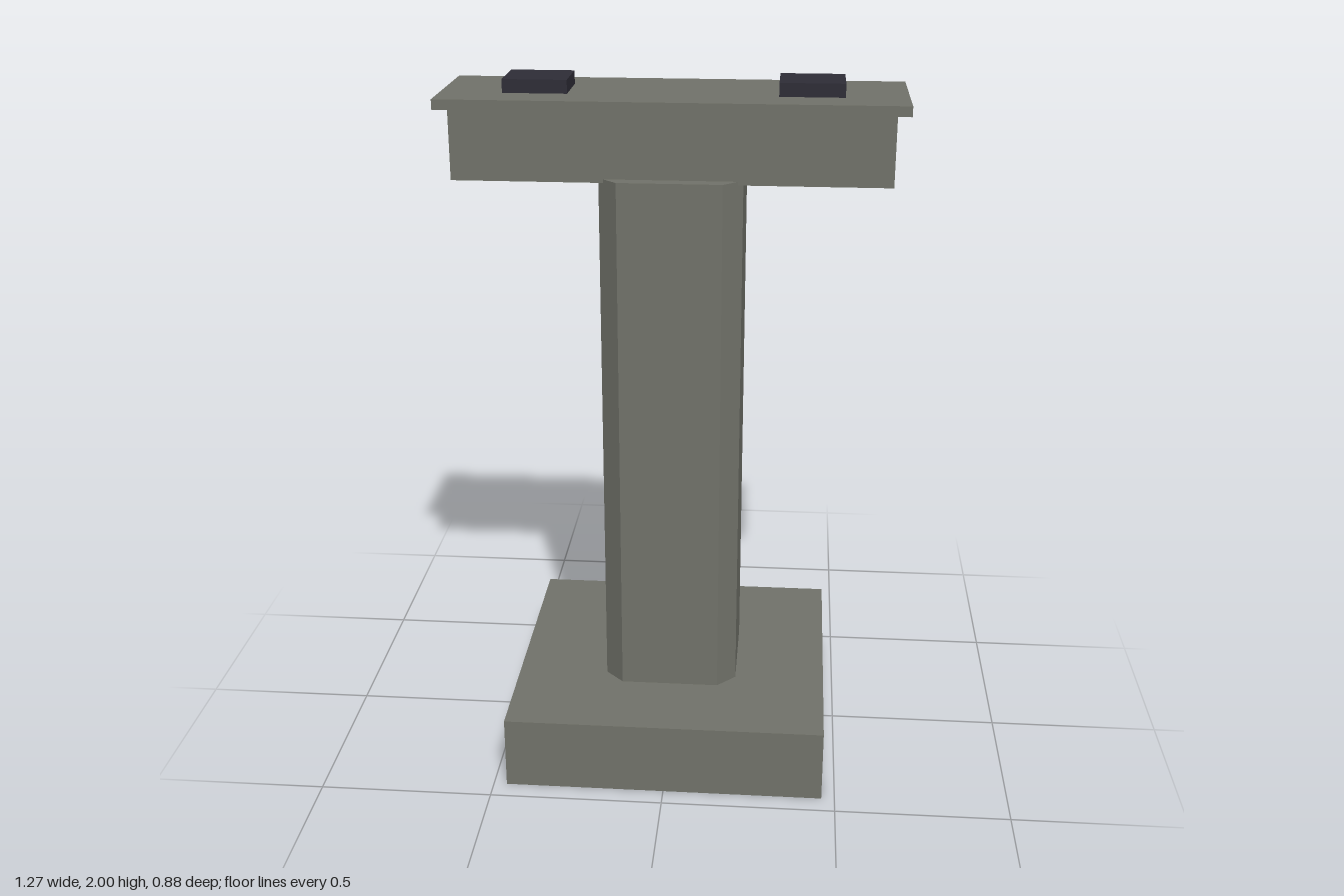
import * as THREE from 'three';

export function createModel() {
  const model = new THREE.Group();
  model.name = 'bridgePier';

  const concrete = new THREE.MeshStandardMaterial({ color: 0x71726a });
  concrete.name = 'concrete';
  const rubber = new THREE.MeshStandardMaterial({ color: 0x2e2d37 });
  rubber.name = 'darkRubber';

  function add(name, geometry, material) {
    const mesh = new THREE.Mesh(geometry, material);
    mesh.name = name;
    model.add(mesh);
    return mesh;
  }

  // Box standing between two heights, centred on z
  function block(name, width, depth, y0, y1, material, x = 0) {
    const mesh = add(name, new THREE.BoxGeometry(width, y1 - y0, depth), material);
    mesh.position.set(x, (y0 + y1) / 2, 0);
  }

  // Footing
  block('footing', 0.924, 0.884, 0, 0.215, concrete);

  // Column: square plan with chamfered corners, extruded upwards
  const h = 0.196, c = 0.143;
  const plan = new THREE.Shape([
    [c, -h], [h, -c], [h, c], [c, h], [-c, h], [-h, c], [-h, -c], [-c, -h],
  ].map(([x, y]) => new THREE.Vector2(x, y)));
  const columnGeometry = new THREE.ExtrudeGeometry(plan, { depth: 1.535, bevelEnabled: false });
  columnGeometry.rotateX(-Math.PI / 2);
  add('column', columnGeometry, concrete).position.y = 0.215;

  // Cap beam and overhanging top slab
  block('capBeam', 1.194, 0.314, 1.74, 1.935, concrete);
  block('topSlab', 1.266, 0.368, 1.935, 1.963, concrete);

  // Bearing pads
  for (const [name, side] of [['leftBearingPad', 1], ['rightBearingPad', -1]]) {
    block(name, 0.177, 0.154, 1.963, 2, rubber, side * 0.3735);
  }

  return model;
}
